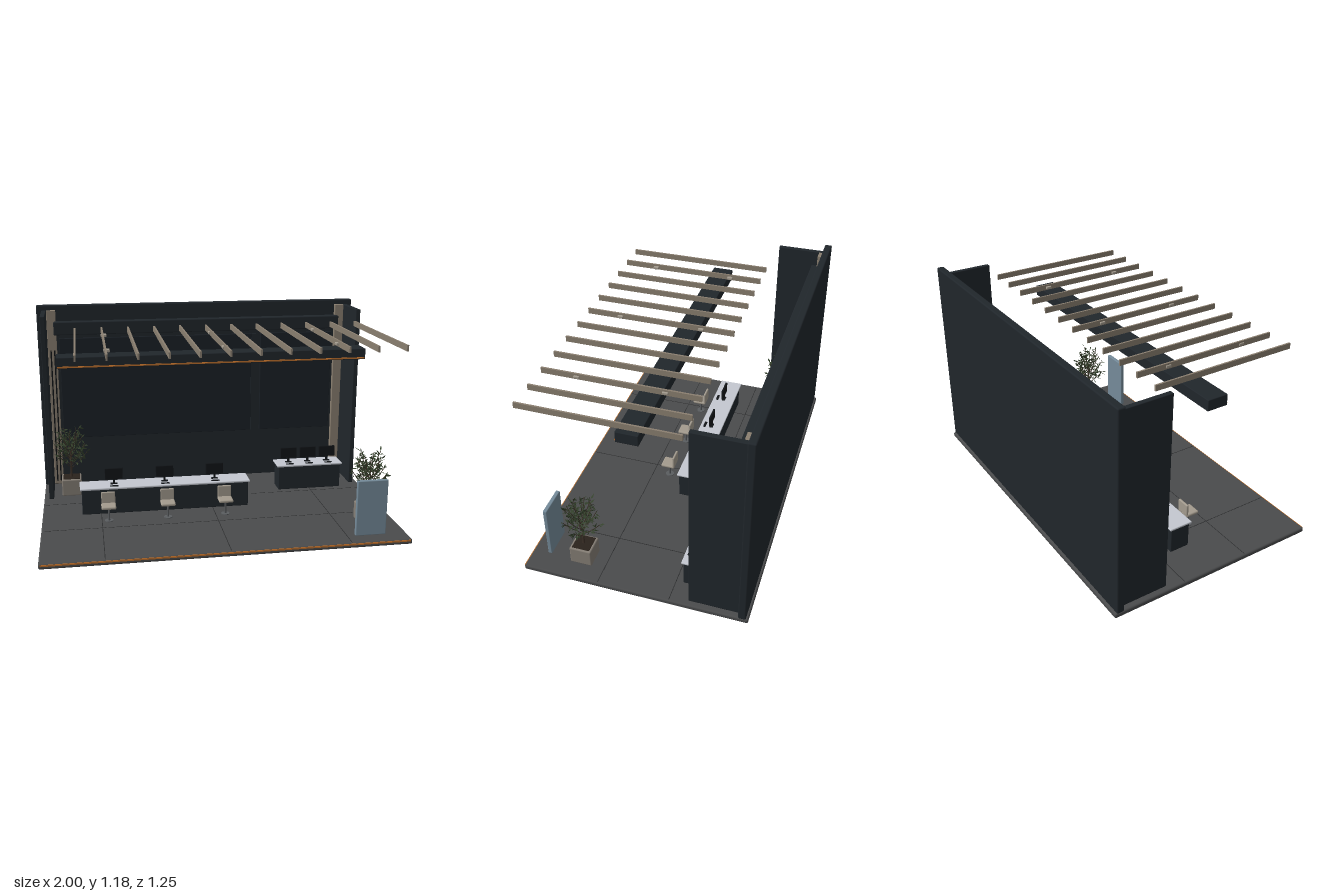
import * as THREE from 'three';
import { RoundedBoxGeometry } from 'three/addons/geometries/RoundedBoxGeometry.js';
import { mergeGeometries } from 'three/addons/utils/BufferGeometryUtils.js';

const mat = (color, side = THREE.FrontSide) => new THREE.MeshStandardMaterial({ color, side });
const M = {
  dark: mat(0x20262b), screen: mat(0x1a2026), floor: mat(0x4a4b4c), seam: mat(0x2c2d2e),
  wood: mat(0x8a7f70), orange: mat(0xc0712c), top: mat(0xc4c8d0), chair: mat(0xa39b8e),
  metal: mat(0x5a5d60), black: mat(0x111417), planter: mat(0x857e75), glass: mat(0x758b9a),
  soil: mat(0x2a221c), bark: mat(0x3d3128), leaf: mat(0x34422c, THREE.DoubleSide),
};

// Box given by its min and max on each axis, optionally with rounded edges
function box(parent, name, m, [x0, x1], [y0, y1], [z0, z1], r = 0) {
  const w = x1 - x0, h = y1 - y0, d = z1 - z0;
  const geo = r ? new RoundedBoxGeometry(w, h, d, 2, r) : new THREE.BoxGeometry(w, h, d);
  const mesh = new THREE.Mesh(geo, m);
  mesh.name = name;
  mesh.position.set((x0 + x1) / 2, (y0 + y1) / 2, (z0 + z1) / 2);
  parent.add(mesh);
  return mesh;
}

function cyl(parent, name, m, r0, r1, y0, y1, x = 0, z = 0) {
  const mesh = new THREE.Mesh(new THREE.CylinderGeometry(r1, r0, y1 - y0, 16), m);
  mesh.name = name;
  mesh.position.set(x, (y0 + y1) / 2, z);
  parent.add(mesh);
}

function group(parent, name, x = 0, z = 0) {
  const g = new THREE.Group();
  g.name = name;
  g.position.set(x, 0, z);
  parent.add(g);
  return g;
}

function seeded(s) {
  return () => (s = (s * 16807) % 2147483647) / 2147483647;
}

// Desk with monitors, each with a stand and keyboard
function desk(parent, name, [x0, x1], [z0, z1], monitors, mz) {
  const g = group(parent, name);
  box(g, 'deskBody', M.dark, [x0 + 0.01, x1 - 0.01], [0.03, 0.18], [z0 + 0.012, z1 - 0.01], 0.004);
  box(g, 'deskTop', M.top, [x0, x1], [0.18, 0.192], [z0, z1], 0.004);
  for (const x of monitors) {
    box(g, 'monitor', M.black, [x - 0.052, x + 0.052], [0.222, 0.288], [mz - 0.006, mz + 0.006], 0.003);
    box(g, 'monitorStand', M.black, [x - 0.006, x + 0.006], [0.19, 0.23], [mz - 0.005, mz + 0.005]);
    box(g, 'monitorFoot', M.black, [x - 0.02, x + 0.02], [0.19, 0.195], [mz - 0.01, mz + 0.01]);
    box(g, 'keyboard', M.black, [x - 0.025, x + 0.025], [0.19, 0.195], [mz + 0.035, mz + 0.05]);
  }
}

function chair(parent, x) {
  const g = group(parent, 'chair', x, 0.1);
  box(g, 'seat', M.chair, [-0.042, 0.042], [0.11, 0.128], [-0.04, 0.042], 0.008);
  box(g, 'backrest', M.chair, [-0.04, 0.04], [0.122, 0.193], [-0.042, -0.028], 0.006);
  cyl(g, 'pole', M.metal, 0.006, 0.006, 0.03, 0.112);
  cyl(g, 'base', M.metal, 0.025, 0.025, 0.03, 0.034);
}

// Pointed, slightly folded leaf growing along +y
function leafGeometry() {
  const geo = new THREE.BufferGeometry();
  geo.setAttribute('position', new THREE.Float32BufferAttribute(
    [0, 0, 0, 0.0055, 0.016, 0.002, 0, 0.036, 0, -0.0055, 0.016, 0.002], 3));
  geo.setIndex([0, 1, 2, 0, 2, 3]);
  geo.computeVertexNormals();
  return geo;
}

function plant(parent, x, z, seed) {
  const g = group(parent, 'pottedTree', x, z);
  box(g, 'planter', M.planter, [-0.06, 0.06], [0.03, 0.135], [-0.062, 0.062], 0.008);
  box(g, 'soil', M.soil, [-0.05, 0.05], [0.13, 0.137], [-0.05, 0.05]);
  cyl(g, 'trunk', M.bark, 0.007, 0.004, 0.13, 0.3);
  const rnd = seeded(seed), base = leafGeometry();
  const twigs = [], leaves = [], up = new THREE.Vector3(0, 1, 0), dummy = new THREE.Object3D();
  for (let i = 0; i < 22; i++) {
    // Branches fan out from the trunk; higher ones stand more upright
    const t = i / 21, a = i * 2.4, reach = 0.1 - 0.06 * t + 0.02 * rnd();
    const start = new THREE.Vector3(0, 0.19 + 0.11 * t, 0);
    const end = new THREE.Vector3(Math.cos(a) * reach, 0.29 + 0.15 * t + 0.02 * rnd(), Math.sin(a) * reach);
    const mid = start.clone().lerp(end, 0.5).add(new THREE.Vector3(0, -0.01, 0));
    const curve = new THREE.QuadraticBezierCurve3(start, mid, end);
    twigs.push(new THREE.TubeGeometry(curve, 4, 0.0018, 5));
    for (let k = 0; k < 14; k++) {
      const u = 0.35 + 0.65 * k / 13;
      curve.getPoint(u, dummy.position);
      const dir = curve.getTangent(u).multiplyScalar(0.6)
        .add(new THREE.Vector3(rnd() - 0.5, rnd() - 0.6, rnd() - 0.5).multiplyScalar(2)).normalize();
      dummy.quaternion.setFromUnitVectors(up, dir);
      dummy.rotateY(rnd() * 6.28);
      dummy.scale.setScalar(0.7 + 0.4 * rnd());
      dummy.updateMatrix();
      leaves.push(base.clone().applyMatrix4(dummy.matrix));
    }
  }
  for (const [name, list, m] of [['branches', twigs, M.bark], ['leaves', leaves, M.leaf]]) {
    const mesh = new THREE.Mesh(mergeGeometries(list), m);
    mesh.name = name;
    g.add(mesh);
  }
}

export function createModel() {
  const root = new THREE.Group();
  root.name = 'controlRoomStand';

  // Floor with panel seams and a lit front edge
  const floor = group(root, 'floor');
  box(floor, 'floorSlab', M.floor, [-1, 1], [0, 0.03], [-0.627, 0.625], 0.01);
  for (const x of [-0.66, 0, 0.66]) box(floor, 'floorSeam', M.seam, [x - 0.002, x + 0.002], [0.029, 0.0308], [-0.57, 0.615]);
  for (const z of [-0.2, 0.2]) box(floor, 'floorSeam', M.seam, [-0.99, 0.99], [0.029, 0.0306], [z - 0.002, z + 0.002]);
  box(floor, 'floorEdgeLight', M.orange, [-0.99, 0.99], [0.017, 0.026], [0.615, 0.627]);

  // Walls
  const walls = group(root, 'walls');
  box(walls, 'backWall', M.dark, [-1, 1], [0.025, 1.185], [-0.615, -0.573], 0.008);
  for (const s of [-1, 1]) {
    const x = s * 0.955;
    box(walls, 'sideWall', M.dark, [x - 0.014, x + 0.014], [0.03, 1.155], [-0.575, -0.3], 0.004);
    const p = s * 0.913;
    box(walls, 'woodPanel', M.wood, [p - 0.028, p + 0.028], [0.04, 1.155], [-0.575, -0.548], 0.003);
  }
  for (const x of [-0.922, -0.9]) box(walls, 'panelSlot', M.black, [x - 0.004, x + 0.004], [0.06, 0.91], [-0.55, -0.546]);

  // Wall screens, the post between them and the header above
  box(walls, 'largeScreen', M.screen, [-0.87, 0.34], [0.34, 0.98], [-0.575, -0.56], 0.003);
  box(walls, 'smallScreen', M.screen, [0.4, 0.87], [0.34, 0.98], [-0.575, -0.56], 0.003);
  box(walls, 'screenPost', M.dark, [0.342, 0.398], [0.34, 0.98], [-0.575, -0.566]);
  box(walls, 'header', M.dark, [-0.9, 0.9], [1.008, 1.088], [-0.575, -0.515], 0.006);

  // Overhead rafters, spotlights and light beam
  const ceiling = group(root, 'ceiling');
  for (let i = 0; i < 12; i++) {
    const x = -0.77 + i * 0.1536;
    box(ceiling, 'rafter', M.wood, [x - 0.005, x + 0.005], [1.06, 1.092], [-0.26, 0.585]);
  }
  for (const x of [-0.61, 0, 0.61]) for (const z of [-0.075, 0.39])
    box(ceiling, 'spotlight', M.chair, [x - 0.016, x + 0.016], [1.066, 1.082], [z - 0.016, z + 0.016], 0.004);
  box(ceiling, 'beam', M.dark, [-0.877, 0.87], [0.925, 0.987], [-0.023, 0.097], 0.004);
  box(ceiling, 'beamLight', M.orange, [-0.87, 0.863], [0.93, 0.938], [0.09, 0.102]);

  // Furniture
  desk(root, 'mainDesk', [-0.78, 0.225], [-0.138, 0], [-0.58, -0.28, 0.02], -0.07);
  desk(root, 'sideDesk', [0.45, 0.87], [-0.365, -0.23], [0.535, 0.66, 0.785], -0.297);
  for (const x of [-0.62, -0.28, 0.057]) chair(root, x);

  // Information panel and potted trees
  box(root, 'infoPanel', M.glass, [0.705, 0.878], [0.03, 0.347], [0.515, 0.538], 0.005);
  plant(root, 0.84, 0.333, 11);
  plant(root, -0.83, -0.4, 77);
  return root;
}
